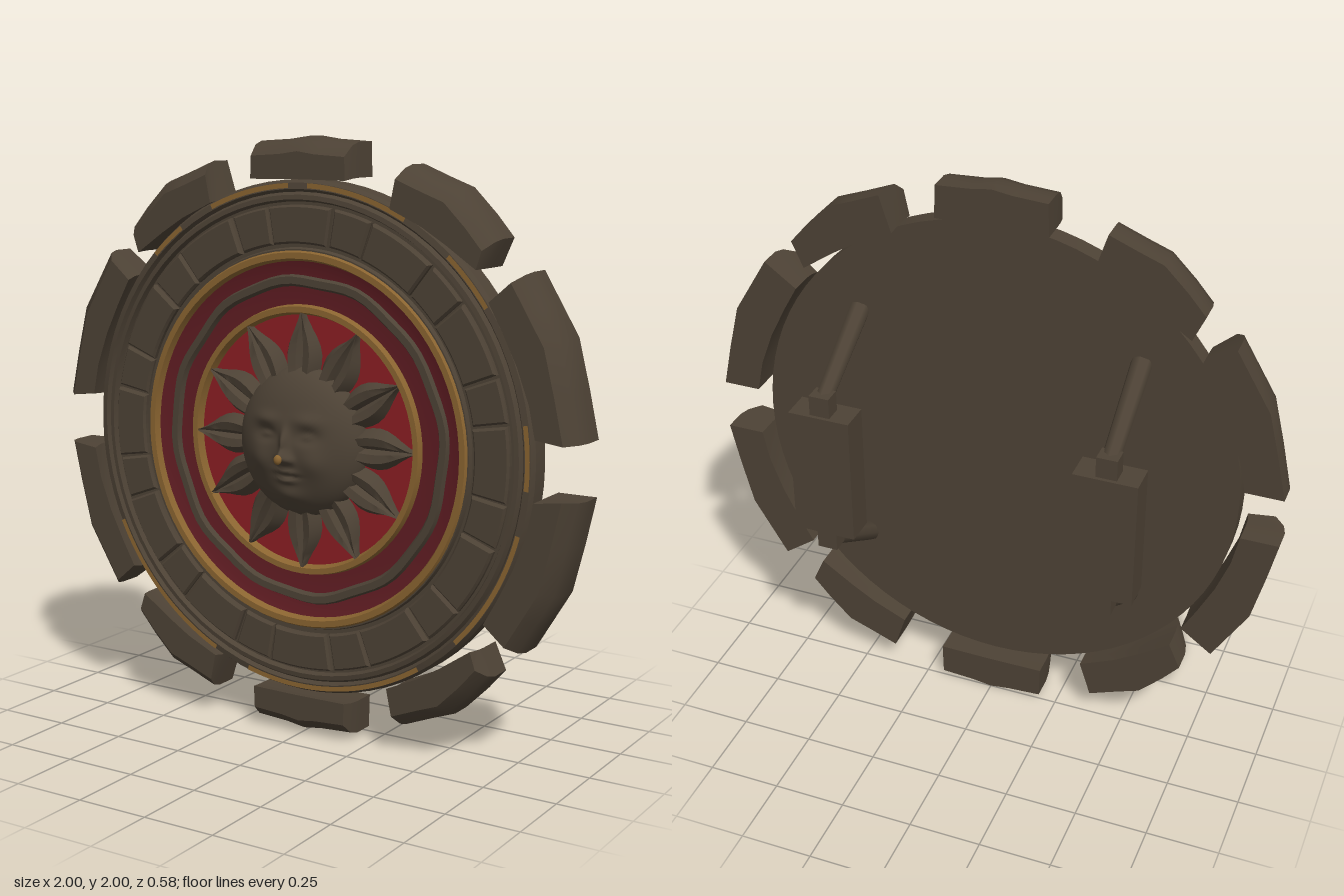
import * as THREE from 'three';
import { toCreasedNormals, mergeVertices } from 'three/addons/utils/BufferGeometryUtils.js';

const mat = (name, color, side = THREE.FrontSide) => {
  const m = new THREE.MeshStandardMaterial({ color, side });
  m.name = name;
  return m;
};

export function createModel() {
  const stone = mat('stone brown', 0x4d4235);
  const stoneOpen = mat('stone brown two-sided', 0x4d4235, THREE.DoubleSide);
  const red = mat('red', 0x8c1e24);
  const darkRed = mat('dark red', 0x611d23);
  const gold = mat('worn gold', 0x8a6430);

  const model = new THREE.Group();
  model.name = 'sunShield';
  const add = (parent, name, geo, material) => {
    const mesh = new THREE.Mesh(geo, material);
    mesh.name = name;
    parent.add(mesh);
    return mesh;
  };
  const group = (name, parent = model) => {
    const g = new THREE.Group();
    g.name = name;
    parent.add(g);
    return g;
  };

  // Everything on the disc is built around the origin, facing +z
  const disc = group('disc');
  disc.position.y = 1.005;
  disc.scale.y = 1.015;

  // Turned band: points are [radius, z], running from back to front and inwards
  const band = (name, pts, material, wobble = 0) => {
    const geo = new THREE.LatheGeometry(pts.map(p => new THREE.Vector2(...p)), 80);
    geo.rotateX(Math.PI / 2);
    if (wobble) {
      const p = geo.attributes.position;
      for (let i = 0; i < p.count; i++) {
        const a = Math.atan2(p.getY(i), p.getX(i));
        const k = 1 + wobble * (Math.sin(12 * a) + 0.5 * Math.sin(7 * a));
        p.setXY(i, p.getX(i) * k, p.getY(i) * k);
      }
    }
    return add(disc, name, toCreasedNormals(geo, 0.5), material);
  };
  band('backAndRim', [[0, 0.052], [0.845, 0.052], [0.845, 0.118], [0.835, 0.134], [0.815, 0.138],
    [0.806, 0.124], [0.797, 0.138], [0.782, 0.14], [0.775, 0.122], [0.63, 0.122], [0.625, 0.138], [0.615, 0.138]], stone);
  band('outerGoldRing', [[0.621, 0.137], [0.615, 0.147], [0.595, 0.147], [0.585, 0.122]], gold);
  band('darkRedRing', [[0.588, 0.126], [0.54, 0.112], [0.43, 0.112]], darkRed);
  band('wavyRing', [[0.543, 0.11], [0.535, 0.127], [0.512, 0.127], [0.502, 0.11]], stone, 0.008);
  band('innerGoldRing', [[0.447, 0.11], [0.441, 0.134], [0.422, 0.134], [0.412, 0.105]], gold);
  band('redField', [[0.42, 0.108], [0, 0.108]], red);

  // Worn gold streaks along the rim: [start degrees, sweep degrees]
  for (const [start, sweep] of [[62, 26], [93, 22], [35, 14], [125, 10], [205, 40], [255, 48], [-45, 30], [-5, 14]]) {
    const arc = new THREE.RingGeometry(0.818, 0.834, 24, 1, start * Math.PI / 180, sweep * Math.PI / 180);
    add(disc, 'rimGoldStreak', arc.translate(0, 0, 0.1395), gold);
  }

  // Ring of raised tiles, wide and narrow in turn
  const tiles = group('tiles', disc);
  for (let i = 0; i < 24; i++) {
    const half = (i % 2 ? 0.062 : 0.108) / 0.705;
    const shape = new THREE.Shape();
    shape.absarc(0, 0, 0.762, -half, half, false);
    shape.absarc(0, 0, 0.645, half, -half, true);
    const geo = new THREE.ExtrudeGeometry(shape, {
      depth: 0.018, bevelThickness: 0.008, bevelSize: 0.007, bevelOffset: -0.004, bevelSegments: 1, curveSegments: 3 });
    const tile = add(tiles, 'tile', geo, stone);
    tile.position.z = i % 2 ? 0.112 : 0.118;
    tile.rotation.z = Math.PI / 2 + i * Math.PI / 12;
  }

  // Sun rays: leaf with raised shoulders and a central groove
  const leaf = () => {
    const pos = [], idx = [], n = 8;
    const half = [0.05, 0.06, 0.067, 0.069, 0.063, 0.049, 0.03, 0.013, 0.001];
    for (let i = 0; i <= n; i++) {
      const t = i / n, lift = 0.05 * Math.sqrt(1 - 0.75 * t);
      for (const [u, h] of [[-1, 0], [-0.6, 1], [-0.2, 0.85], [0, 0.35], [0.2, 0.85], [0.6, 1], [1, 0]])
        pos.push(u * half[i], 0.2 + 0.23 * t, 0.106 + h * lift);
    }
    for (let i = 0; i < n; i++) for (let j = 0; j < 6; j++) {
      const a = i * 7 + j, b = a + 7;
      idx.push(a, a + 1, b + 1, a, b + 1, b);
    }
    const geo = new THREE.BufferGeometry();
    geo.setAttribute('position', new THREE.Float32BufferAttribute(pos, 3));
    geo.setIndex(idx);
    return toCreasedNormals(geo, 0.7);
  };
  const rays = group('sunRays', disc);
  const leafGeo = leaf();
  for (let i = 0; i < 12; i++) add(rays, 'sunRay', leafGeo, stoneOpen).rotation.z = i * Math.PI / 6;

  // Face: half dome with soft bumps [x, y, width, height, amount]
  const bumps = [
    [0, -0.035, 0.022, 0.022, 0.04], [0, 0.015, 0.016, 0.04, 0.022],        // nose
    [0.024, -0.042, 0.012, 0.012, 0.012], [-0.024, -0.042, 0.012, 0.012, 0.012],
    [0.08, 0.085, 0.05, 0.02, 0.01], [-0.08, 0.085, 0.05, 0.02, 0.01],      // brows
    [0.08, 0.035, 0.04, 0.022, -0.018], [-0.08, 0.035, 0.04, 0.022, -0.018], // eye sockets
    [0.08, 0.033, 0.024, 0.011, 0.012], [-0.08, 0.033, 0.024, 0.011, 0.012],
    [0.1, -0.05, 0.045, 0.045, 0.012], [-0.1, -0.05, 0.045, 0.045, 0.012],  // cheeks
    [0, -0.083, 0.034, 0.009, 0.014], [0, -0.112, 0.03, 0.01, 0.014],       // lips
    [0, -0.098, 0.04, 0.005, -0.01], [0, -0.165, 0.05, 0.03, 0.014],        // mouth line, chin
  ];
  let faceGeo = new THREE.SphereGeometry(1, 72, 44, 0, Math.PI * 2, 0, Math.PI / 2);
  faceGeo.rotateX(Math.PI / 2).scale(0.24, 0.247, 0.125).translate(0, 0, 0.108);
  const fp = faceGeo.attributes.position;
  for (let i = 0; i < fp.count; i++) {
    let z = fp.getZ(i);
    for (const [x, y, w, h, k] of bumps)
      z += k * Math.exp(-(((fp.getX(i) - x) / w) ** 2) - ((fp.getY(i) - y) / h) ** 2);
    fp.setZ(i, z);
  }
  faceGeo.deleteAttribute('normal');
  faceGeo.deleteAttribute('uv');
  faceGeo = mergeVertices(faceGeo, 1e-5);
  faceGeo.computeVertexNormals();
  add(disc, 'face', faceGeo, stone);
  const noseTip = new THREE.SphereGeometry(1, 16, 10).scale(0.014, 0.016, 0.012);
  add(disc, 'noseTipGold', noseTip.translate(0, -0.037, 0.273), gold);

  // Outer blocks: outlines in x and y about the disc centre, mirrored round the disc
  const topBlock = [[-0.19, 0.87], [0, 0.872], [0.19, 0.87], [0.187, 0.983], [0.07, 0.99], [0, 1], [-0.07, 0.99], [-0.187, 0.983]];
  const diagonalBlock = [[0.34, 0.79], [0.46, 0.735], [0.55, 0.68], [0.66, 0.605], [0.70, 0.695], [0.64, 0.765], [0.56, 0.845], [0.48, 0.875], [0.38, 0.915]];
  const sideBlock = [[0.695, 0.52], [0.745, 0.43], [0.80, 0.32], [0.845, 0.2], [0.868, 0.09], [0.998, 0.09], [0.965, 0.24], [0.925, 0.4], [0.865, 0.5], [0.805, 0.6]];
  const blocks = group('outerBlocks');
  blocks.position.y = 1;
  const block = (outline, sx, sy) => {
    const pts = outline.map(([x, y]) => new THREE.Vector2(x * sx, y * sy));
    const cx = pts.reduce((s, p) => s + p.x, 0) / pts.length;
    const cy = pts.reduce((s, p) => s + p.y, 0) / pts.length;
    const geo = new THREE.ExtrudeGeometry(new THREE.Shape(pts), { depth: 0.155, steps: 4, bevelEnabled: false });
    const p = geo.attributes.position;
    const R = Math.hypot(cx, cy);
    for (let i = 0; i < p.count; i++) {
      // Pull the front in, most of all along the outer edge
      const t = Math.max(0, p.getZ(i) / 0.155 - 0.5) * 2;
      const outward = (p.getX(i) * cx + p.getY(i) * cy) / R > R ? 0.045 : 0.012;
      const x = p.getX(i), y = p.getY(i);
      p.setXY(i, x - cx / R * outward * t * t + (cx - x) * 0.05 * t * t, y - cy / R * outward * t * t + (cy - y) * 0.05 * t * t);
    }
    add(blocks, 'outerBlock', toCreasedNormals(geo, 0.7), stone);
  };
  for (const sy of [1, -1]) {
    block(topBlock, 1, sy);
    for (const sx of [1, -1]) {
      block(diagonalBlock, sx, sy);
      block(sideBlock, sx, sy);
    }
  }

  // Two handles on the back: grip, end caps and slanting struts
  for (const side of [1, -1]) {
    const handle = group(side > 0 ? 'leftHandle' : 'rightHandle');
    handle.position.set(side * 0.49, 1, 0);
    add(handle, 'grip', new THREE.BoxGeometry(0.215, 0.46, 0.105).translate(0, 0, -0.24), stone);
    for (const s of [1, -1]) {
      add(handle, 'gripCap', new THREE.BoxGeometry(0.07, 0.08, 0.06).translate(0, s * 0.262, -0.25), stone);
      const from = new THREE.Vector3(0, s * 0.46, 0.06), to = new THREE.Vector3(0, s * 0.275, -0.245);
      const strut = new THREE.CylinderGeometry(0.03, 0.036, from.distanceTo(to), 8);
      const mesh = add(handle, 'strut', strut, stone);
      mesh.position.copy(from).lerp(to, 0.5);
      mesh.quaternion.setFromUnitVectors(new THREE.Vector3(0, 1, 0), to.clone().sub(from).normalize());
    }
  }
  return model;
}
